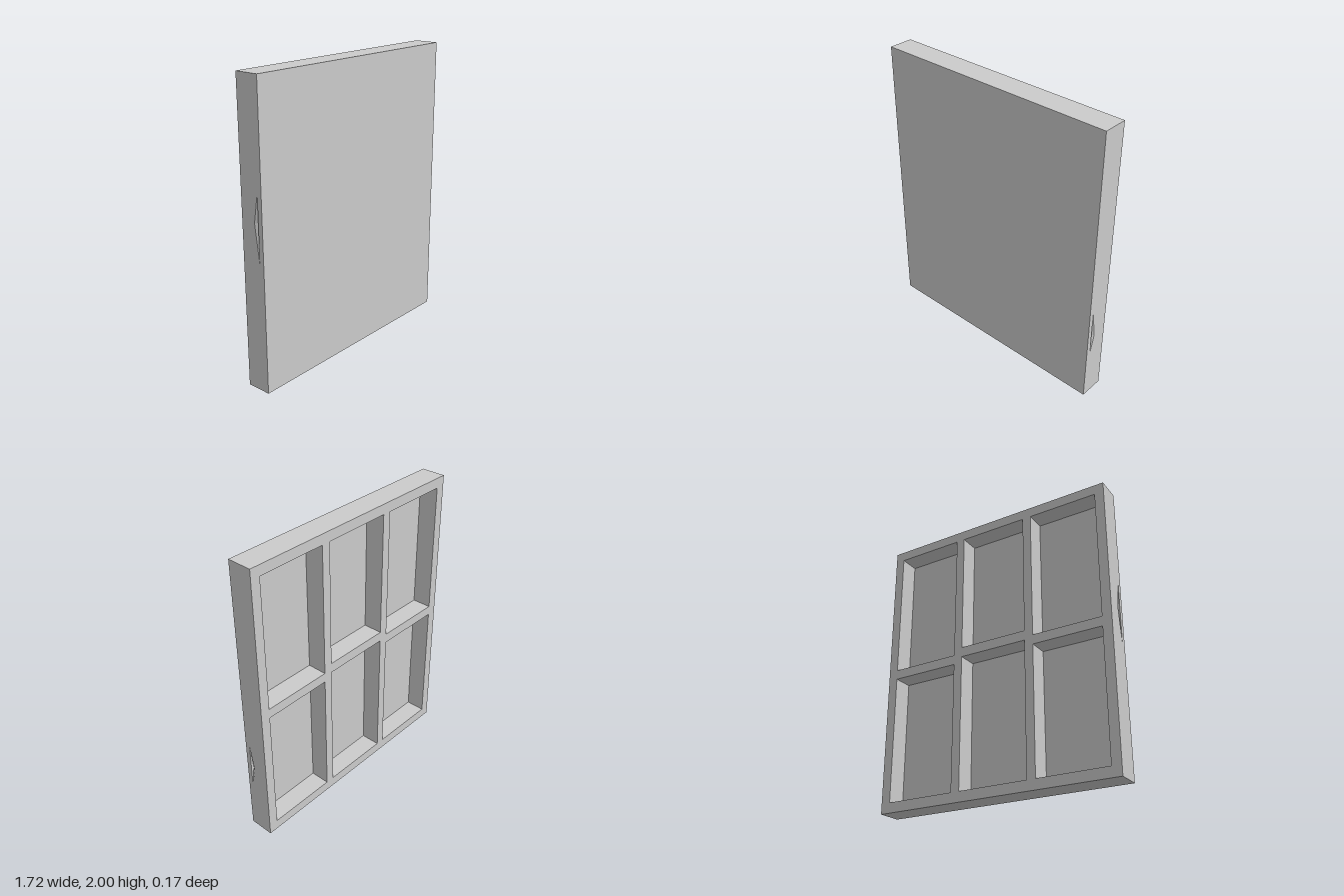
import * as THREE from 'three';

const HALF_W = 0.86, HEIGHT = 2, BACK = -0.085, SEAM = 0.052, FRONT = 0.085;
const SKIN = 0.03; // thickness of the outer side strips

// Closed path through [x, y] points
function trace(path, points) {
  points.forEach(([x, y], i) => (i ? path.lineTo(x, y) : path.moveTo(x, y)));
  path.closePath();
  return path;
}

const rect = (x0, x1, y0, y1) => [[x0, y0], [x1, y0], [x1, y1], [x0, y1]];

export function createModel() {
  const group = new THREE.Group();
  const material = new THREE.MeshStandardMaterial({ color: 0xcccccc, flatShading: true });
  const chipMaterial = new THREE.MeshStandardMaterial({
    color: 0xcccccc, flatShading: true, side: THREE.DoubleSide,
  });
  const add = (name, geometry, mat = material) => {
    const mesh = new THREE.Mesh(geometry, mat);
    mesh.name = name;
    group.add(mesh);
  };

  // Smooth front panel
  const panel = new THREE.BoxGeometry(HALF_W * 2, HEIGHT, FRONT - SEAM);
  panel.translate(0, HEIGHT / 2, (FRONT + SEAM) / 2);
  add('frontPanel', panel);

  // Back frame with six pockets; the middle crossbar sits slightly higher
  const inner = HALF_W - SKIN;
  const frame = trace(new THREE.Shape(), rect(-inner, inner, 0, HEIGHT));
  for (const column of [-1, 0, 1]) {
    const x = column * 0.55;
    const barLow = column ? 0.953 : 0.996;
    const barHigh = column ? 1.02 : 1.065;
    for (const [y0, y1] of [[0.07, barLow], [barHigh, 1.93]]) {
      frame.holes.push(trace(new THREE.Path(), rect(x - 0.244, x + 0.244, y0, y1)));
    }
  }
  const frameGeometry = new THREE.ExtrudeGeometry(frame, {
    depth: SEAM - BACK, bevelEnabled: false,
  });
  frameGeometry.translate(0, 0, BACK);
  add('backFrame', frameGeometry);

  // Side strips, each with a shallow chipped dent beside the front panel
  const sides = [
    { side: 1, name: 'left', low: 0.36, mid: 0.5, high: 0.69 },
    { side: -1, name: 'right', low: 0.87, mid: 1.12, high: 1.31 },
  ];
  for (const { side, name, low, mid, high } of sides) {
    const at = (z, y) => [-side * z, y];
    const place = (g) => g.rotateY(side * Math.PI / 2).translate(side * inner, 0, 0);
    const strip = trace(new THREE.Shape(), [
      at(BACK, 0), at(SEAM, 0), at(SEAM, low), at(0.02, mid),
      at(SEAM, high), at(SEAM, HEIGHT), at(BACK, HEIGHT),
    ]);
    add(name + 'SideStrip', place(new THREE.ExtrudeGeometry(strip, {
      depth: SKIN, bevelEnabled: false,
    })));

    // Two sloping facets meeting at the deepest point of the dent
    const edge = [...at(0.02, mid), SKIN];
    const deep = [...at(SEAM, mid), SKIN - 0.02];
    const top = [...at(SEAM, high), SKIN];
    const bottom = [...at(SEAM, low), SKIN];
    const chip = new THREE.BufferGeometry();
    chip.setAttribute('position', new THREE.Float32BufferAttribute(
      [top, edge, deep, edge, bottom, deep].flat(), 3));
    chip.computeVertexNormals();
    add(name + 'SideDent', place(chip), chipMaterial);
  }

  return group;
}
